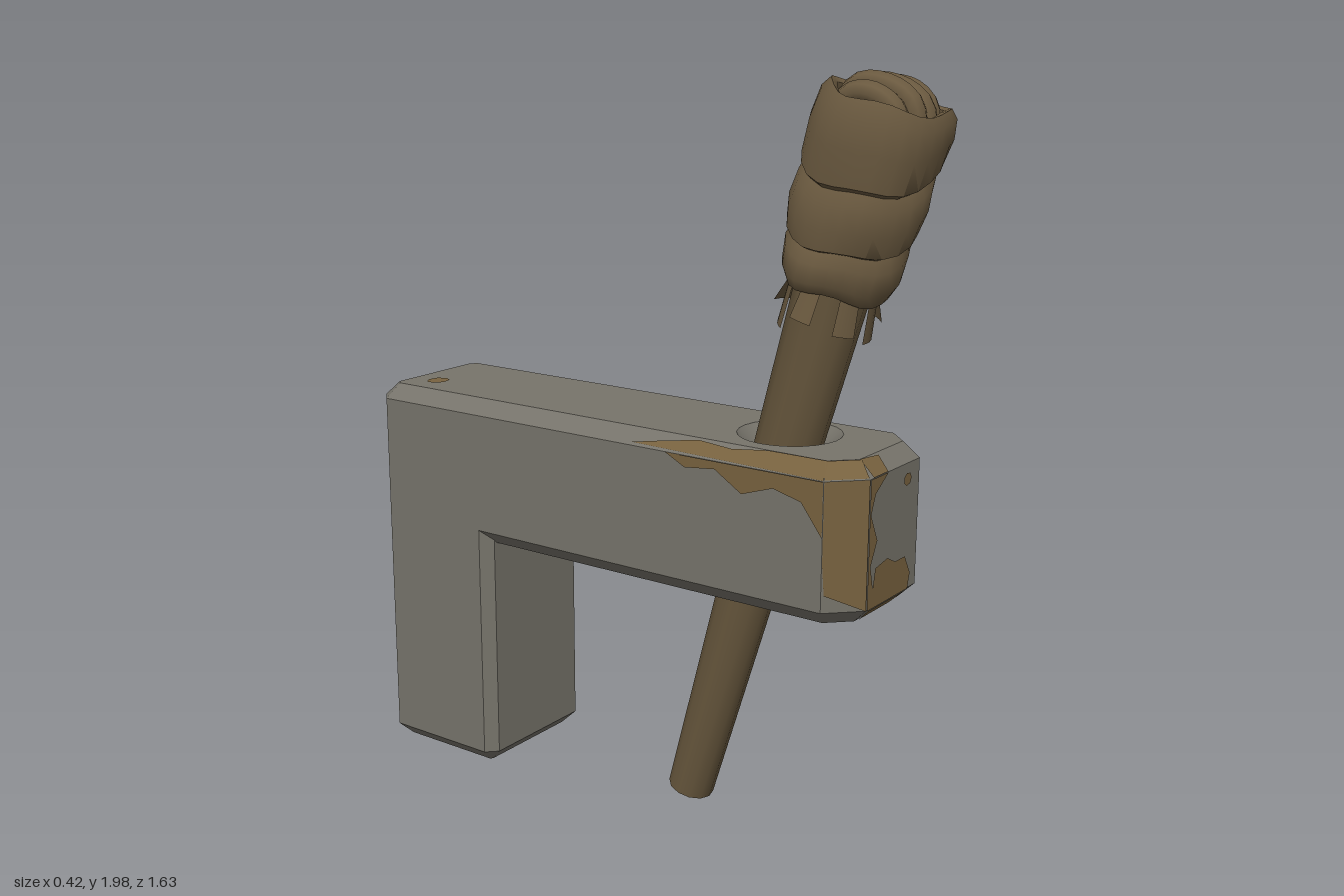
import * as THREE from 'three';
import { toCreasedNormals } from 'three/addons/utils/BufferGeometryUtils.js';

const material = (name, color, side = THREE.FrontSide) => {
  const m = new THREE.MeshStandardMaterial({ color, side });
  m.name = name;
  return m;
};

export function createModel() {
  const stone = material('grey stone', 0x77746b);
  const stain = material('rust stain', 0x78623f);
  const wood = material('dark wood', 0x67573d);
  const cloth = material('brown cloth', 0x6b5a40, THREE.DoubleSide);

  const model = new THREE.Group();
  model.name = 'torchAndBracket';
  const add = (parent, name, geometry, mat) => {
    const mesh = new THREE.Mesh(geometry, mat);
    mesh.name = name;
    parent.add(mesh);
    return mesh;
  };

  // Chamfered stone block: plan outline in x and z, extruded downward from the top
  const W = 0.205, B = 0.04, SLOPE = 0.28;
  const block = (z0, z1, c0, c1, top, height, hole) => {
    const shape = new THREE.Shape([
      [-W + c0, z0], [W - c0, z0], [W, z0 + c0], [W, z1 - c1],
      [W - c1, z1], [-W + c1, z1], [-W, z1 - c1], [-W, z0 + c0],
    ].map(p => new THREE.Vector2(...p)));
    if (hole) shape.holes.push(hole);
    return new THREE.ExtrudeGeometry(shape, {
      depth: height - 2 * B, bevelThickness: B, bevelSize: B, bevelOffset: -B,
      bevelSegments: 1, curveSegments: 12,
    }).rotateX(Math.PI / 2).translate(0, top - B, 0);
  };

  // Arm, with a hole slanted to follow the torch
  const holeX = 0.012, holeZ = 0.374;
  const hole = new THREE.Path().absarc(holeX, holeZ, 0.095, 0, Math.PI * 2, true);
  const armGeometry = block(-0.82, 0.74, 0.04, 0.08, 1.08, 0.41, hole);
  const p = armGeometry.attributes.position;
  for (let i = 0; i < p.count; i++) {
    if (Math.hypot(p.getX(i) - holeX, p.getZ(i) - holeZ) < 0.15) {
      p.setZ(i, p.getZ(i) + SLOPE * (p.getY(i) - 0.875));
    }
  }
  const bracket = new THREE.Group();
  bracket.name = 'stoneBracket';
  model.add(bracket);
  add(bracket, 'arm', toCreasedNormals(armGeometry, 0.5), stone);
  add(bracket, 'leg', toCreasedNormals(block(-0.82, -0.41, 0.04, 0.03, 0.75, 0.75), 0.5), stone);

  // Stains: thin plates laid on the stone, facing along a normal
  const plate = (name, pos, normal, points) => {
    const shape = new THREE.Shape(points.map(q => new THREE.Vector2(...q)));
    const mesh = add(bracket, name, new THREE.ShapeGeometry(shape), stain);
    const n = new THREE.Vector3(...normal).normalize();
    mesh.position.set(...pos).addScaledVector(n, 0.003);
    mesh.lookAt(mesh.position.clone().add(n));
  };
  plate('frontStain', [0, 0, 0.74], [0, 0, 1], [
    [-0.125, 0.71], [0.08, 0.71], [0.09, 0.75], [0.06, 0.8], [0.01, 0.8], [-0.03, 0.82],
    [-0.09, 0.81], [-0.1, 0.76], [-0.115, 0.82], [-0.085, 0.88], [-0.12, 0.95],
    [-0.1, 1.0], [-0.04, 1.04], [-0.125, 1.04]]);
  plate('frontLowerStain', [0, 0.69, 0.72], [0, -1, 1], [
    [-0.1, -0.02], [0.05, -0.02], [0.08, 0.028], [-0.12, 0.028]]);
  plate('frontUpperStain', [-0.08, 1.06, 0.72], [0, 1, 1], [
    [-0.03, -0.028], [0.04, -0.028], [0.05, 0.02], [-0.03, 0.028]]);
  plate('cornerStain', [-0.165, 0.875, 0.7], [-1, 0, 1], [
    [-0.05, -0.12], [0.056, -0.165], [0.056, 0.165], [-0.056, 0.165], [-0.056, -0.04]]);
  plate('cornerUpperStain', [-0.151, 1.06, 0.686], [-1, 1.414, 1], [
    [-0.055, -0.026], [0.055, -0.026], [0.045, 0.026], [-0.045, 0.026]]);
  plate('sideUpperStain', [-0.185, 1.06, 0.38], [-1, 1, 0], [
    [-0.29, -0.02], [0.28, -0.028], [0.27, 0.027], [0.1, 0.026], [0, 0.012], [-0.1, 0.02], [-0.2, 0]]);
  plate('sideStain', [-W, 1.04, 0.38], [-1, 0, 0], [
    [-0.18, 0], [-0.12, -0.03], [-0.03, -0.02], [0.05, -0.07], [0.14, -0.04],
    [0.22, -0.06], [0.28, -0.14], [0.28, 0]]);
  const spot = r => Array.from({ length: 7 }, (_, i) => {
    const a = i / 7 * Math.PI * 2;
    return [r * Math.cos(a), 0.85 * r * Math.sin(a)];
  });
  plate('topSpot', [-0.085, 1.08, -0.69], [0, 1, 0], spot(0.036));
  plate('frontSpot', [0.06, 1.0, 0.74], [0, 0, 1], spot(0.02));
  for (const [x, y, r] of [[0.07, 0.5, 0.016], [0.03, 0.47, 0.012], [-0.03, 0.25, 0.016]]) {
    plate('backSpot', [x, y, -0.82], [0, 0, -1], spot(r));
  }

  // Torch, leaning forward through the hole
  const torch = new THREE.Group();
  torch.name = 'torch';
  torch.position.set(0.012, 0.02, 0.135);
  torch.rotation.set(Math.atan(SLOPE), 0, -0.008);
  model.add(torch);
  add(torch, 'shaft', toCreasedNormals(
    new THREE.CylinderGeometry(0.098, 0.063, 1.6, 12).translate(0, 0.8, 0), 0.7), wood);

  // Cloth head: three bulging wraps, slanted and rippled, ending in a hollow rim
  const profile = [
    [0.085, 1.49], [0.13, 1.5], [0.147, 1.54], [0.15, 1.61], [0.136, 1.645],
    [0.156, 1.66], [0.165, 1.72], [0.16, 1.78], [0.146, 1.805],
    [0.166, 1.82], [0.171, 1.89], [0.163, 1.95], [0.145, 1.975],
    [0.128, 1.965], [0.124, 1.935], [0, 1.925],
  ].map(q => new THREE.Vector2(...q));
  const headGeometry = new THREE.LatheGeometry(profile, 24);
  const h = headGeometry.attributes.position;
  for (let i = 0; i < h.count; i++) {
    const x = h.getX(i), y = h.getY(i), z = h.getZ(i), a = Math.atan2(x, z);
    const ripple = 1 + 0.025 * Math.sin(3 * a + 9 * y) + 0.015 * Math.sin(5 * a - 14 * y);
    const slant = 0.38 * Math.max(0, Math.sin(Math.PI * (y - 1.49) / 0.485));
    h.setXYZ(i, x * ripple + 0.012, y + slant * x + 0.008 * Math.sin(4 * a), z * ripple);
  }
  add(torch, 'clothWraps', toCreasedNormals(headGeometry, 0.9), cloth);

  // Folded strips over the top
  [-0.075, -0.027, 0.022, 0.07].forEach((x, i) => {
    const w = 0.122 - 0.4 * Math.abs(x), y = 2.002 - 0.25 * Math.abs(x) + 0.006 * (i % 2);
    const curve = new THREE.CatmullRomCurve3([
      [x, 1.9, -w], [x * 1.05, y - 0.02, -w * 0.65], [x * 1.1, y, 0],
      [x * 1.05, y - 0.02, w * 0.65], [x, 1.9, w],
    ].map(q => new THREE.Vector3(...q)));
    add(torch, 'topStrip', new THREE.TubeGeometry(curve, 14, 0.029, 8), cloth).position.x = 0.012;
  });

  // Loose cloth tails flaring out below the wraps: angle, arc, length, flare
  for (const [angle, arc, length, flare] of [
    [-0.1, 0.5, 0.13, 0.125], [0.85, 0.4, 0.1, 0.15], [1.6, 0.5, 0.13, 0.165],
    [2.6, 0.55, 0.12, 0.15], [3.6, 0.5, 0.15, 0.11], [4.5, 0.45, 0.1, 0.13], [5.4, 0.45, 0.11, 0.13],
  ]) {
    add(torch, 'clothTail', new THREE.CylinderGeometry(0.108, flare, length, 3, 1, true, angle, arc)
      .translate(0, 1.525 - length / 2, 0), cloth);
  }

  return model;
}
